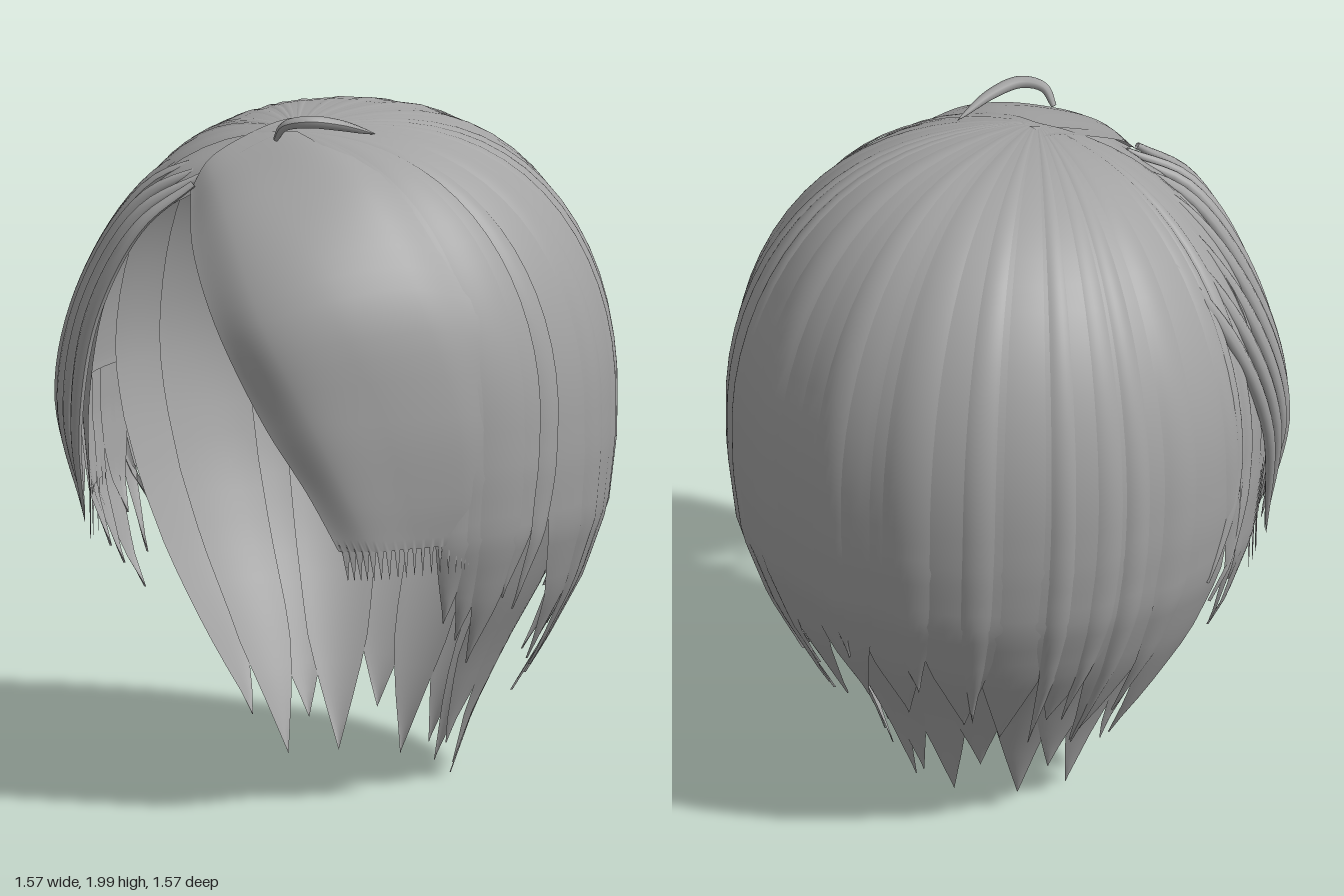
import * as THREE from 'three';

const hair = new THREE.MeshStandardMaterial({ color: 0xa3a3a3, side: THREE.DoubleSide });
hair.name = 'hair grey';

const V = (p) => new THREE.Vector3(...p);
const curve = (pts) => new THREE.CatmullRomCurve3(pts.map(V));
const rad = THREE.MathUtils.degToRad;
const jitter = (i) => { const s = Math.sin(i * 12.9898 + 4.1) * 43758.5453; return s - Math.floor(s); };

// Smooth sheet from a rule f(u, v) -> Vector3, both in 0..1
function sheet(name, nu, nv, f) {
  const pos = [], idx = [];
  for (let j = 0; j <= nv; j++) for (let i = 0; i <= nu; i++) {
    pos.push(...f(i / nu, j / nv).toArray());
    if (i < nu && j < nv) {
      const a = j * (nu + 1) + i, b = a + nu + 1;
      idx.push(a, b, a + 1, b, b + 1, a + 1);
    }
  }
  const g = new THREE.BufferGeometry();
  g.setAttribute('position', new THREE.Float32BufferAttribute(pos, 3));
  g.setIndex(idx);
  g.computeVertexNormals();
  const m = new THREE.Mesh(g, hair);
  m.name = name;
  return m;
}

// Head envelope: radius at a height, as [y, radius] from the rim downward
const RIM = 1.15, TOP = 0.55;
const OUTER = [[1.15, 0.77], [1, 0.768], [0.8, 0.745], [0.6, 0.675], [0.4, 0.57], [0.2, 0.45], [0, 0.32]];
const NAPE = [[1.15, 0.74], [1, 0.718], [0.8, 0.66], [0.6, 0.575], [0.4, 0.465], [0.2, 0.37], [0, 0.3]];
function radiusAt(profile, y) {
  const i = Math.max(1, profile.findIndex((p) => y >= p[0]));
  const [y0, r0] = profile[i - 1], [y1, r1] = profile[i];
  return THREE.MathUtils.lerp(r0, r1, (y0 - y) / (y0 - y1));
}

// Point on the head: s runs from the crown over the dome, then down to the tip
function onHead(angle, s, tip, lift, profile) {
  const q = s < TOP ? Math.sin((s / TOP) * Math.PI / 2) : 1;
  let y = RIM - Math.max(0, (s - TOP) / (1 - TOP)) * (RIM - tip);
  const e = 1 + lift * q;
  const r = (s < TOP ? profile[0][1] * q : radiusAt(profile, y)) * e;
  const x = r * Math.sin(angle) + 0.03 * (1 - q), z = r * Math.cos(angle) + 0.26 * (1 - q);
  if (s < TOP) {
    const rho = Math.min(1, Math.hypot(x, z) / (profile[0][1] * e));
    y = RIM + (0.81 + lift * 0.5 * q - (profile === NAPE ? 0.03 : 0)) * Math.sqrt(1 - rho ** 2.4);
  }
  return new THREE.Vector3(x, y, z);
}

// Pointed lock of hair: gently bulged, tapering from `from`, its tip turned by `sway` degrees
function lock(name, deg, half, tip, lift, { profile = OUTER, sway = 0, from = 0.7, bulge = 0.01 } = {}) {
  return sheet(name, 8, 32, (u, v) => {
    const k = u * 2 - 1, t = Math.max(0, (v - from) / (1 - from)), bend = Math.max(0, (v - 0.45) / 0.55);
    const angle = rad(deg + k * half * (1 - t ** 1.6) + sway * bend ** 2);
    return onHead(angle, v, tip, lift + bulge * (0.5 - k * k), profile);
  });
}

// Sheet lofted across a row of guide curves
function loft(name, guides, nu, nv, edge) {
  const cs = guides.map(curve);
  return sheet(name, nu, nv, (u, v) => {
    const p = new THREE.CatmullRomCurve3(cs.map((c) => c.getPoint(v))).getPoint(u);
    p.y += v === 1 ? edge(u) : 0;
    return p;
  });
}

// Round strand, thin at the root and pointed at the tip
function strand(name, pts, radius) {
  const c = curve(pts), n = 28, sides = 8;
  const g = new THREE.TubeGeometry(c, n, radius, sides), a = g.attributes.position;
  const p = new THREE.Vector3();
  for (let i = 0; i < a.count; i++) {
    const t = Math.floor(i / (sides + 1)) / n, mid = c.getPointAt(t);
    p.fromBufferAttribute(a, i).sub(mid).multiplyScalar(Math.max(0.02, Math.sin(Math.PI * (0.1 + 0.9 * t)) ** 0.7)).add(mid);
    a.setXYZ(i, p.x, p.y, p.z);
  }
  g.computeVertexNormals();
  const m = new THREE.Mesh(g, hair);
  m.name = name;
  return m;
}

export function createModel() {
  const group = new THREE.Group();
  group.name = 'hair';
  const add = (...m) => group.add(...m);

  // Scalp layer, longer at the back than at the temples
  const cap = (name, a, b, tip, lift) => add(sheet(name, 60, 26, (u, v) =>
    onHead(rad(a + (b - a) * u), v, tip, lift, OUTER)));
  cap('scalpLayer', 56, 304, 1.13, -0.008);
  cap('backLayer', 110, 250, 0.85, -0.01);

  // Nape layer, the longest locks, split only near their tips
  for (let i = 0; i < 12; i++) {
    const end = i === 0 || i === 11;
    add(lock('napeLock', 91 + i * 16.2, 12, end ? 0.13 : 0.01 + 0.12 * jitter(i) * (i % 2), 0.01 * (i % 2),
      { profile: NAPE, sway: 10 * (jitter(i + 30) - 0.5) + (5.5 - i), from: 0.86 }));
  }

  // Broad back locks, those at the sides swept backwards
  for (let i = 0; i < 12; i++) {
    const deg = 98 + i * 14.9, side = (180 - deg) / 82;
    add(lock('backLock', deg, 11, 0.44 - 0.15 * Math.abs(side) + 0.18 * (jitter(i + 7) - 0.5), 0.007 * (i % 2),
      { sway: 12 * side + 5 * (jitter(i + 50) - 0.5), from: 0.7 }));
  }
  // Narrower locks lying over the back and the sides
  for (const [deg, half, tip] of [[106, 5, 0.35], [121, 3, 0.3], [127, 3.5, 0.24], [134, 3, 0.42], [150, 6, 0.5], [172, 5, 0.6],
    [192, 6, 0.52], [207, 4, 0.4], [226, 3, 0.3], [236, 3.5, 0.4], [243, 3, 0.27], [255, 5, 0.38],
    [275, 2, 0.8], [280, 2, 0.7]]) {
    add(lock('overLock', deg, half, tip, 0.012, { sway: (180 - deg) / 9, bulge: 0.014 }));
  }
  // Temple locks on both sides
  for (const [deg, half, tip] of [[64, 6, 0.56], [69, 6, 0.5], [75, 7, 0.42], [80, 6, 0.62]]) {
    add(lock('leftTempleLock', deg, half, tip, deg === 75 ? 0.006 : 0, { from: 0.72 }));
    add(lock('rightTempleLock', 360 - deg, half, tip + 0.08, deg === 75 ? 0.006 : 0, { from: 0.72 }));
  }
  add(lock('leftFlyaway', 88, 3, 0.58, 0.012, { sway: -4 }), lock('rightFlyaway', 272, 3, 0.58, 0.012, { sway: 4 }));

  // Swept fringe with a finely toothed hem, its outer edge tucked under the temple
  add(loft('fringe', [
    [[-0.17, 1.77, 0.5], [-0.01, 1.64, 0.69], [0.15, 1.45, 0.785], [0.31, 1.18, 0.765], [0.42, 0.98, 0.7], [0.5, 0.78, 0.63]],
    [[-0.17, 1.845, 0.42], [0.08, 1.73, 0.64], [0.3, 1.47, 0.76], [0.44, 1.2, 0.715], [0.52, 0.97, 0.64], [0.565, 0.78, 0.56]],
    [[-0.13, 1.9, 0.32], [0.19, 1.8, 0.53], [0.45, 1.53, 0.63], [0.58, 1.2, 0.56], [0.62, 0.95, 0.49], [0.62, 0.78, 0.44]],
    [[-0.06, 1.945, 0.2], [0.32, 1.845, 0.37], [0.59, 1.55, 0.42], [0.695, 1.2, 0.36], [0.695, 0.95, 0.33], [0.665, 0.78, 0.31]],
    [[0, 1.945, 0.1], [0.42, 1.81, 0.22], [0.67, 1.5, 0.24], [0.73, 1.2, 0.24], [0.715, 0.95, 0.25], [0.68, 0.8, 0.25]],
  ], 80, 28, (u) => (Math.round(u * 80) % 4 === 2 ? -0.055 : 0.03)));

  // Panel from the parting to the other temple
  add(loft('sidePanel', [
    [[-0.13, 1.78, 0.5], [-0.32, 1.66, 0.5], [-0.49, 1.42, 0.48], [-0.58, 1.1, 0.45], [-0.6, 0.78, 0.42]],
    [[-0.08, 1.87, 0.39], [-0.38, 1.74, 0.41], [-0.59, 1.47, 0.4], [-0.68, 1.12, 0.36], [-0.66, 0.78, 0.34]],
    [[0.02, 1.95, 0.2], [-0.4, 1.81, 0.25], [-0.67, 1.52, 0.25], [-0.75, 1.15, 0.22], [-0.715, 0.8, 0.2]],
  ], 24, 24, (u) => (Math.round(u * 24) % 4 === 2 ? -0.12 : 0.03)));

  // Fan of strands over the side panel
  const first = [[-0.16, 1.79, 0.5], [-0.27, 1.67, 0.61], [-0.41, 1.4, 0.65], [-0.51, 1.05, 0.6], [-0.55, 0.78, 0.51]];
  const last = [[-0.2, 1.92, 0.03], [-0.48, 1.79, 0.04], [-0.7, 1.5, 0.13], [-0.765, 1.18, 0.23], [-0.7, 0.78, 0.33]];
  const count = 8;
  for (let i = 0; i < count; i++) {
    const t = i / (count - 1), push = 1 + 0.08 * Math.sin(Math.PI * t);
    const pts = first.map((p, k) => {
      const q = V(p).lerp(V(last[k]), t), f = k === 0 || k === 4 ? 1 : push;
      return [q.x * f, 1 + (q.y - 1) * (1 + (f - 1) * 0.5), q.z * f];
    });
    pts[4][1] += 0.14 * (jitter(i + 11) - 0.5);
    add(strand('sideStrand', pts, 0.023));
  }

  // Small stray curl on the crown
  add(strand('crownCurl', [[0.04, 1.925, 0.37], [0.08, 1.97, 0.38], [0.14, 1.985, 0.35], [0.19, 1.97, 0.27], [0.23, 1.93, 0.15]], 0.018));

  return group;
}
